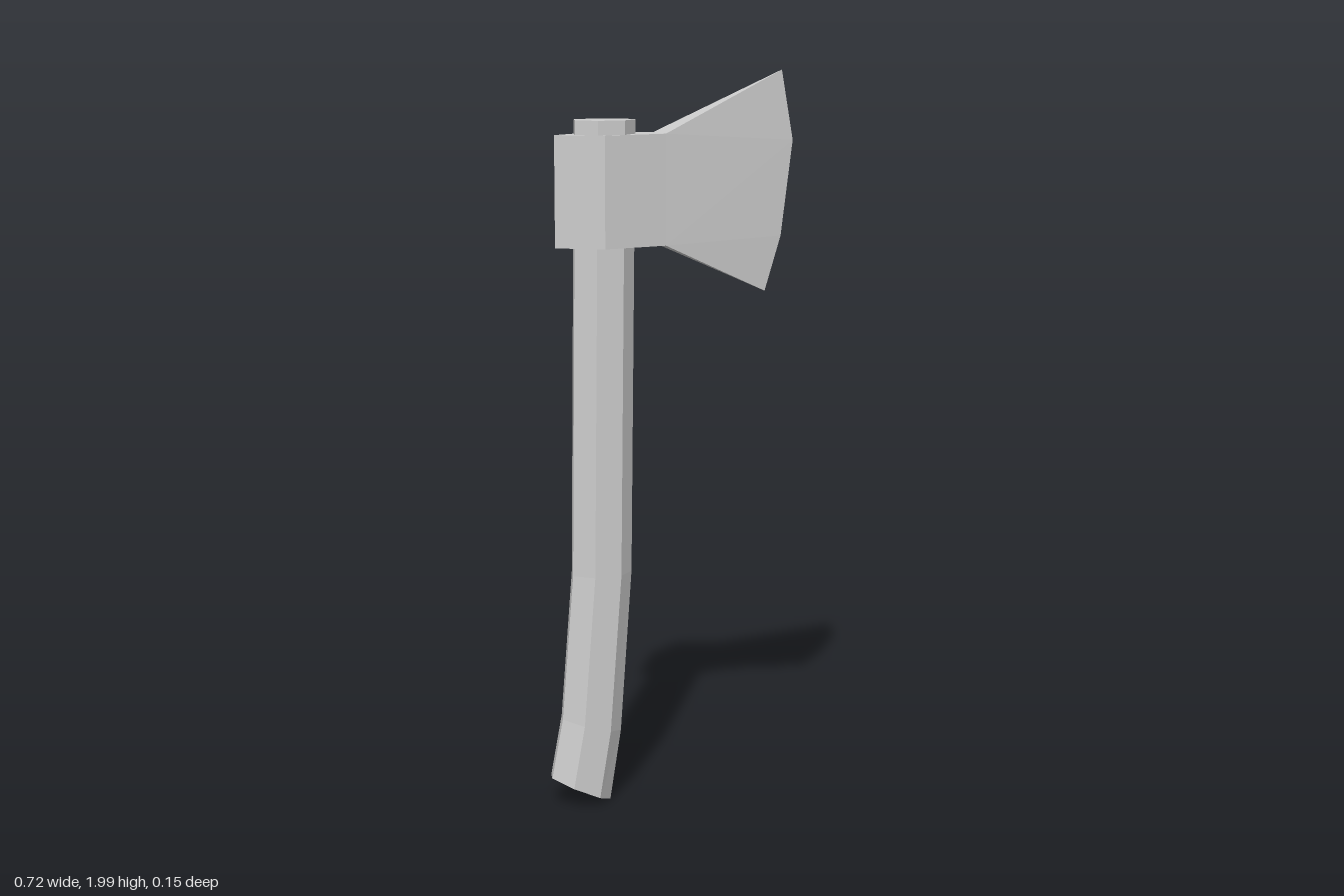
import * as THREE from 'three';

// Flat-faced geometry from convex polygons, each counter-clockwise seen from outside
function fromPolygons(polygons) {
  const positions = [];
  for (const p of polygons) {
    for (let i = 1; i < p.length - 1; i++) positions.push(...p[0], ...p[i], ...p[i + 1]);
  }
  const geometry = new THREE.BufferGeometry();
  geometry.setAttribute('position', new THREE.Float32BufferAttribute(positions, 3));
  geometry.computeVertexNormals();
  return geometry;
}

// Seven-sided handle, lofted through tilted rings and bent back at the grip
function handleGeometry() {
  const sides = 7;
  const sections = [ // centre x, centre y, tilt
    [-0.275, 0.045, -0.47],
    [-0.243, 0.225, -0.29],
    [-0.21, 0.65, 0],
    [-0.195, 1.875, 0],
  ];
  const rings = sections.map(([cx, cy, tilt]) =>
    Array.from({ length: sides }, (_, k) => {
      const t = (k / sides) * Math.PI * 2;
      const dx = 0.087 * Math.sin(t);
      return [cx + dx, cy + dx * tilt, -0.068 * Math.cos(t)];
    }));
  const polygons = [rings[0], [...rings[rings.length - 1]].reverse()];
  for (let r = 0; r < rings.length - 1; r++) {
    const low = rings[r], high = rings[r + 1];
    for (let k = 0; k < sides; k++) {
      const n = (k + 1) % sides;
      polygons.push([low[n], low[k], high[k], high[n]]);
    }
  }
  return fromPolygons(polygons);
}

// Wedge head: pointed back, wide eye, narrow neck and flared cutting edge
function headGeometry() {
  const low = 1.54, high = 1.837;
  const column = (x, z) => [[x, low, z], [x, high, z]];
  const back = column(-0.333, 0);
  const eye = column(-0.22, 0.077);
  const neck = column(-0.035, 0.045);
  const edge = [[0.322, 2, 0], [0.356, 1.81, 0], [0.322, 1.55, 0], [0.275, 1.4, 0]];
  const flip = ([x, y, z]) => [x, y, -z];

  // One cheek, then its mirror image
  const cheek = [
    [back[0], eye[0], eye[1], back[1]],
    [eye[0], neck[0], neck[1], eye[1]],
    [neck[1], edge[1], edge[0]],
    [neck[1], neck[0], edge[1]],
    [neck[0], edge[2], edge[1]],
    [neck[0], edge[3], edge[2]],
  ];
  const otherCheek = cheek.map((p) => p.map(flip).reverse());

  // Top and bottom surfaces
  const cap = (i, tip) => [
    [back[i], eye[i], neck[i], flip(neck[i]), flip(eye[i])],
    [neck[i], tip, flip(neck[i])],
  ];
  const top = cap(1, edge[0]);
  const bottom = cap(0, edge[3]).map((p) => p.reverse());
  return fromPolygons([...cheek, ...otherCheek, ...top, ...bottom]);
}

export function createModel() {
  const grey = new THREE.MeshStandardMaterial({ color: 0xcccccc });
  grey.name = 'light grey';

  const model = new THREE.Group();
  model.name = 'axe';
  const addPart = (name, geometry) => {
    const mesh = new THREE.Mesh(geometry, grey);
    mesh.name = name;
    model.add(mesh);
  };
  addPart('handle', handleGeometry());
  addPart('head', headGeometry());
  return model;
}
